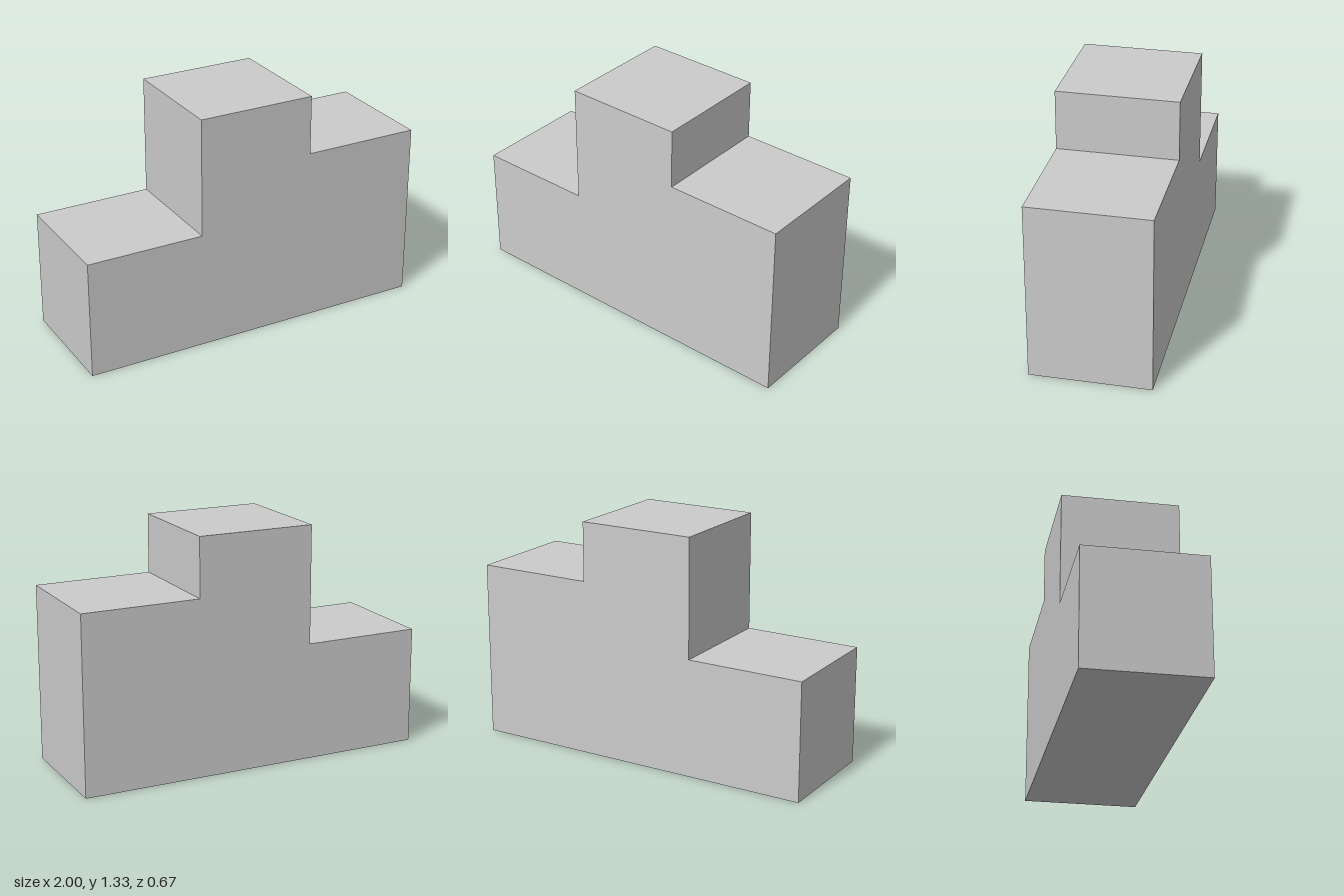
import * as THREE from 'three';

export function createModel() {
  const group = new THREE.Group();
  group.name = 'winnersPodium';

  const unit = 2 / 3; // width and depth of one step
  const heights = [unit, 2 * unit, 1.5 * unit]; // third, first and second place

  // Stepped silhouette, counter-clockwise from the bottom right corner
  const outline = [new THREE.Vector2(1, 0)];
  for (let i = heights.length - 1; i >= 0; i--) {
    const left = -1 + i * unit;
    outline.push(
      new THREE.Vector2(left + unit, heights[i]),
      new THREE.Vector2(left, heights[i])
    );
  }
  outline.push(new THREE.Vector2(-1, 0));

  // Solid body in one piece, centred in depth
  const geometry = new THREE.ExtrudeGeometry(new THREE.Shape(outline), {
    depth: unit,
    bevelEnabled: false,
  });
  geometry.translate(0, 0, -unit / 2);

  const material = new THREE.MeshStandardMaterial({ color: 0xcccccc, flatShading: true });
  const podium = new THREE.Mesh(geometry, material);
  podium.name = 'steppedPodium';
  group.add(podium);

  return group;
}
